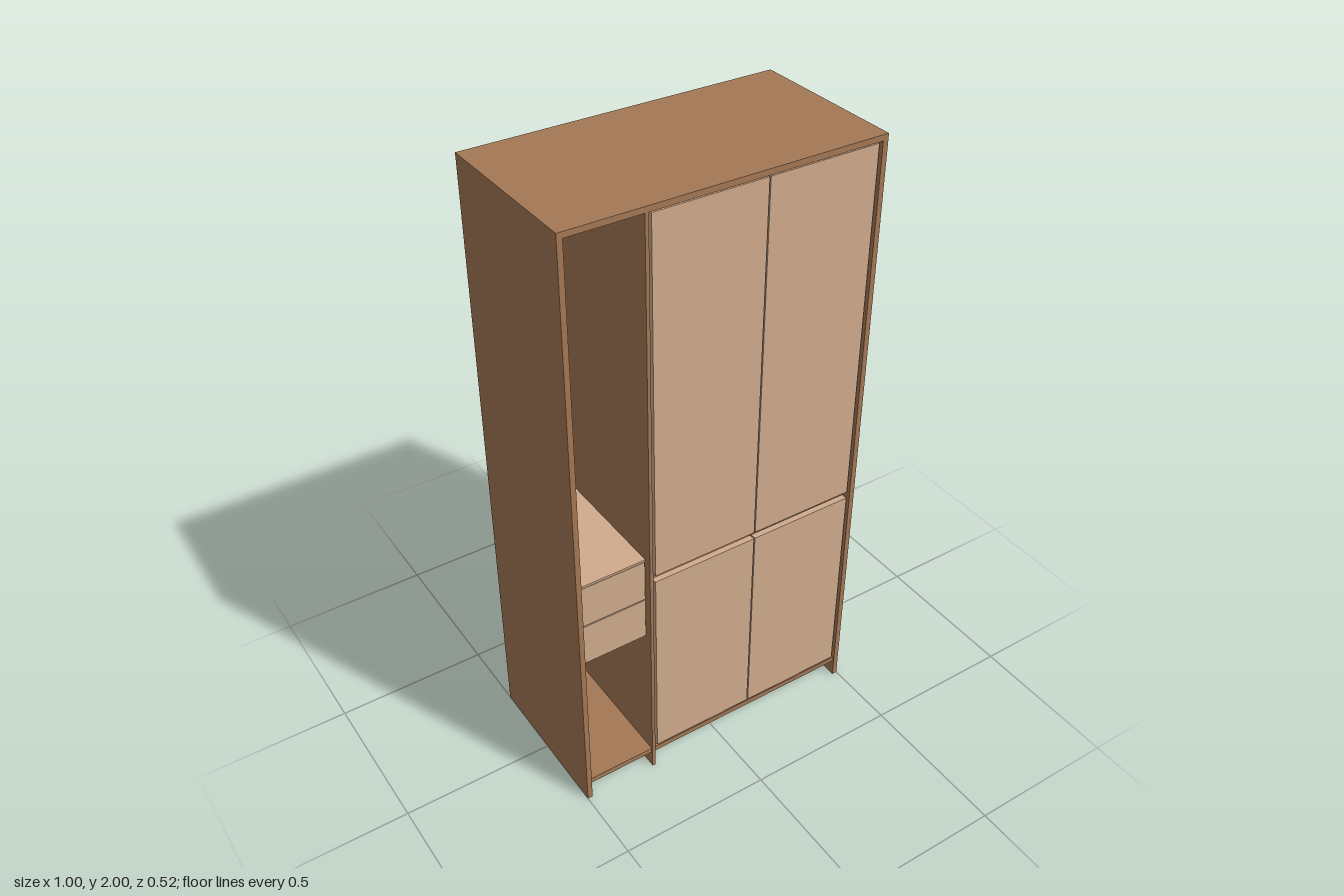
import * as THREE from 'three';

const wood = new THREE.MeshStandardMaterial({ color: 0xa47855 });
const pale = new THREE.MeshStandardMaterial({ color: 0xd0ab8c });
const metal = new THREE.MeshStandardMaterial({ color: 0xcccccc });

// Box given by its limits on each axis
function panel(parent, name, [x0, x1], [y0, y1], [z0, z1], material = wood) {
  const mesh = new THREE.Mesh(new THREE.BoxGeometry(x1 - x0, y1 - y0, z1 - z0), material);
  mesh.name = name;
  mesh.position.set((x0 + x1) / 2, (y0 + y1) / 2, (z0 + z1) / 2);
  parent.add(mesh);
  return mesh;
}

export function createModel() {
  const wardrobe = new THREE.Group();
  wardrobe.name = 'wardrobe';
  const depth = [-0.26, 0.26];
  const inner = 0.483;

  // Carcass
  panel(wardrobe, 'rightSide', [-0.5, -inner], [0, 2], depth);
  panel(wardrobe, 'leftSide', [inner, 0.5], [0, 2], depth);
  panel(wardrobe, 'topPanel', [-inner, inner], [1.982, 2], depth);
  panel(wardrobe, 'bottomPanel', [-inner, inner], [0.06, 0.078], [-0.25, 0.255]);
  panel(wardrobe, 'divider', [-0.257, -0.246], [0, 1.982], depth);
  panel(wardrobe, 'plinth', [-0.46, 0.481], [0.002, 0.06], [-0.247, 0.2]);

  // Backs: flush behind the doors, recessed in the open bay
  panel(wardrobe, 'mainBack', [-0.235, inner], [0.005, 1.982], [-0.26, -0.25]);
  panel(wardrobe, 'bayBack', [-inner, -0.257], [0.078, 1.982], [-0.24, -0.23]);

  // Closed compartment: shelf and four doors
  panel(wardrobe, 'middleShelf', [-0.235, inner], [0.786, 0.804], [-0.25, 0.23]);
  for (const [side, x] of [['right', [-0.235, 0.118]], ['left', [0.122, 0.475]]]) {
    panel(wardrobe, side + 'LowerDoor', x, [0.083, 0.783], [0.235, 0.255], pale);
    panel(wardrobe, side + 'UpperDoor', x, [0.807, 1.976], [0.235, 0.255], pale);
  }

  // Open bay: two drawers with a cover, top rail and hanging rod
  const bay = new THREE.Group();
  bay.name = 'openBay';
  wardrobe.add(bay);
  for (let i = 0; i < 2; i++) {
    const y = 0.565 + i * 0.148;
    panel(bay, 'drawer', [-0.479, -0.259], [y, y + 0.144], [-0.228, 0.235], pale);
  }
  panel(bay, 'drawerCover', [-inner, -0.257], [0.859, 0.866], [-0.23, 0.235], pale);
  panel(bay, 'topRail', [-inner, -0.257], [1.966, 1.982], [0.2, 0.22]);
  const rod = new THREE.Mesh(new THREE.CylinderGeometry(0.005, 0.005, 0.226, 16), metal);
  rod.name = 'hangingRod';
  rod.rotation.z = Math.PI / 2;
  rod.position.set(-0.37, 1.89, 0);
  bay.add(rod);

  return wardrobe;
}
